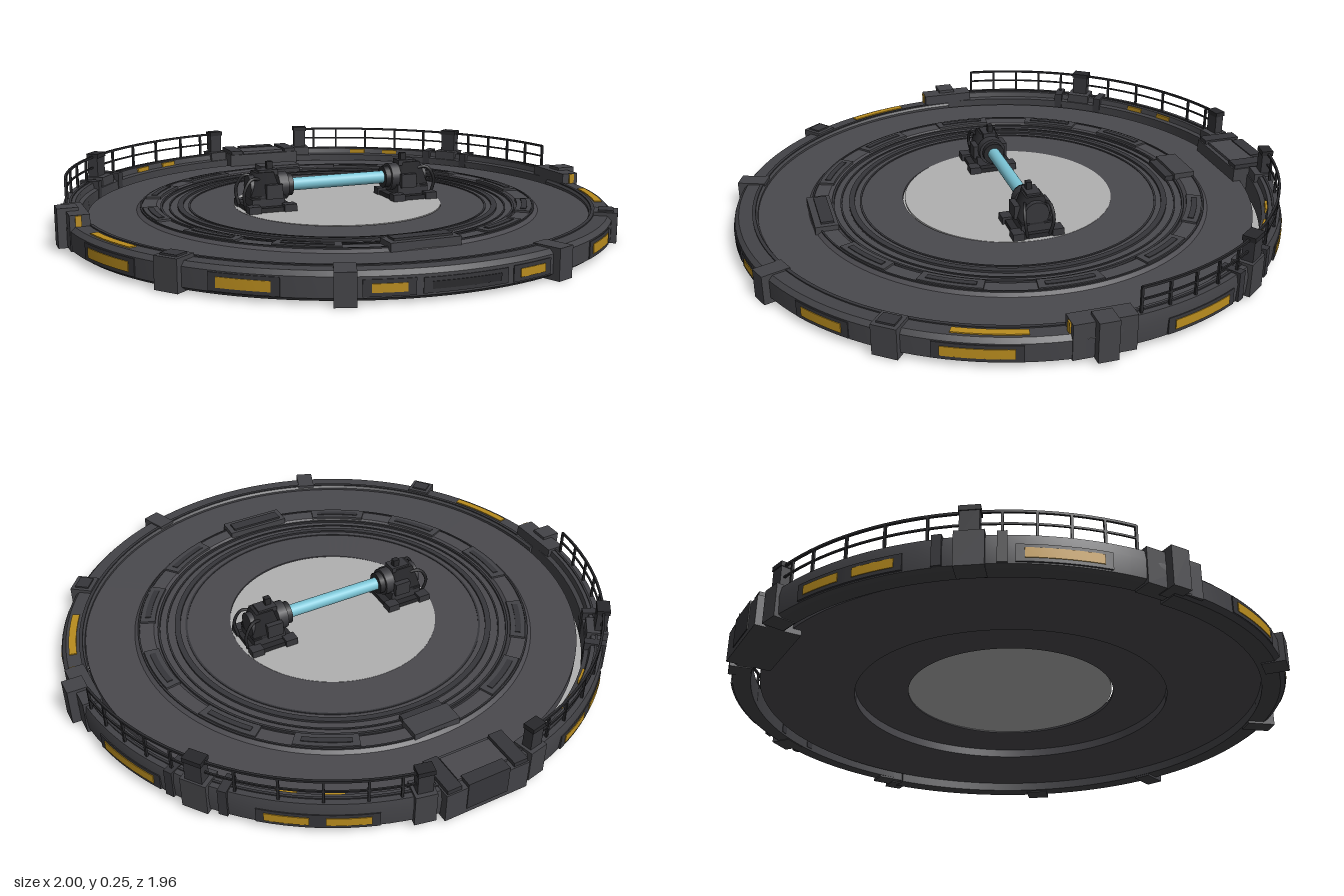
import * as THREE from 'three';
import { mergeGeometries, toCreasedNormals } from 'three/addons/utils/BufferGeometryUtils.js';

const mat = (name, color) => Object.assign(new THREE.MeshStandardMaterial({ color }), { name });
const RAD = Math.PI / 180;

export function createModel() {
  const model = new THREE.Group();
  model.name = 'arenaPlatform';
  const floorGrey = mat('floor grey', 0x4a494e);
  const rimGrey = mat('rim grey', 0x434347);
  const trimGrey = mat('dark trim', 0x36363a);
  const black = mat('machine black', 0x28282b);
  const gold = mat('gold', 0xb98c1e);
  const cyan = mat('beam cyan', 0x7cc5d6);
  const pale = mat('pale disc', 0xb0b0b0);

  const add = (name, geo, material, parent = model) => {
    const m = new THREE.Mesh(geo, material);
    m.name = name;
    parent.add(m);
    return m;
  };

  // Closed profile swept from angle a0 to a1 (degrees from the front), with end caps
  const arc = (name, material, profile, a0 = 0, a1 = 360, parent = model) => {
    const pts = profile.map(([r, y]) => new THREE.Vector2(r, y));
    const steps = Math.max(2, Math.ceil((a1 - a0) / 3));
    const parts = [new THREE.LatheGeometry(pts, steps, a0 * RAD, (a1 - a0) * RAD).toNonIndexed()];
    if (a1 - a0 < 360) {
      [a0, a1].forEach((a, end) => {
        const cap = new THREE.ShapeGeometry(new THREE.Shape(pts));
        if (end) cap.setIndex(Array.from(cap.index.array).reverse());
        parts.push(cap.rotateY(a * RAD - Math.PI / 2).toNonIndexed());
      });
    }
    return add(name, toCreasedNormals(mergeGeometries(parts), 0.5), material, parent);
  };
  const band = (r0, r1, y0, y1) => [[r1, y0], [r1, y1], [r0, y1], [r0, y0], [r1, y0]];

  // Box standing on the ring at angle a, width along the ring, depth outward
  const block = (name, material, a, r, y0, y1, w, d) => {
    const m = add(name, new THREE.BoxGeometry(w, y1 - y0, d), material);
    m.position.set(r * Math.sin(a * RAD), (y0 + y1) / 2, r * Math.cos(a * RAD));
    m.rotation.y = a * RAD;
    return m;
  };

  // Floor: thick outer deck, recessed underside, pale centre disc
  const floor = new THREE.Group();
  floor.name = 'floor';
  floor.position.z = 0.012;
  model.add(floor);
  arc('outerDeck', floorGrey, band(0.56, 0.888, 0.04, 0.08), 0, 360, floor);
  arc('innerDeck', floorGrey, band(0.37, 0.565, 0.07, 0.081), 0, 360, floor);
  const disc = add('centreDisc', new THREE.CylinderGeometry(0.375, 0.375, 0.008, 96), pale);
  disc.position.y = 0.078;

  // Concentric track on the floor
  arc('trackBase', floorGrey, [[0.72, 0.079], [0.705, 0.09], [0.65, 0.09], [0.635, 0.079], [0.72, 0.079]]);
  [[0.53, 0.537, 0.084], [0.555, 0.575, 0.088], [0.6, 0.606, 0.084], [0.628, 0.636, 0.088], [0.7, 0.706, 0.094]]
    .forEach(([r0, r1, y]) => arc('trackRing', trimGrey, band(r0, r1, 0.078, y)));
  [30, 58, 90, 122, 150].forEach(a => [a, -a].forEach(b => {
    arc('trackPlate', rimGrey, band(0.645, 0.698, 0.088, 0.097), b - 9, b + 9);
    arc('trackSlot', trimGrey, band(0.662, 0.682, 0.096, 0.1), b - 7, b + 7);
  }));
  block('frontConsole', rimGrey, 0, 0.675, 0.08, 0.108, 0.24, 0.08);
  block('frontConsoleTop', trimGrey, 0, 0.67, 0.1, 0.115, 0.2, 0.045);
  block('backConsole', rimGrey, 180, 0.665, 0.08, 0.11, 0.17, 0.08);
  block('backConsoleGrille', trimGrey, 180, 0.61, 0.08, 0.1, 0.15, 0.035);

  // Outer rim: low front part and raised back part
  arc('frontRim', rimGrey, [[0.955, 0.008], [0.972, 0.02], [0.972, 0.082], [0.958, 0.096],
    [0.9, 0.096], [0.893, 0.088], [0.893, 0.008], [0.955, 0.008]], -90, 90);
  arc('backRim', rimGrey, [[0.955, 0.022], [0.968, 0.03], [0.972, 0.09], [0.965, 0.125],
    [0.925, 0.125], [0.92, 0.105], [0.905, 0.1], [0.905, 0.022], [0.955, 0.022]], 90, 270);
  arc('backRimGroove', trimGrey, band(0.938, 0.946, 0.12, 0.129), 96, 264);
  arc('frontRimLip', trimGrey, band(0.9, 0.912, 0.09, 0.1), -84, 84);

  // Framed panels around the outside: [angle, half width, low, high, front or back]
  const panel = (a, half, y0, y1, material) => {
    arc('panelFrame', trimGrey, band(0.968, 0.975, y0 - 0.012, y1 + 0.012), a - half - 1.5, a + half + 1.5);
    arc('panelFace', material, band(0.97, 0.9775, y0, y1), a - half, a + half);
  };
  panel(0, 6.5, 0.038, 0.06, black);
  [[13.7, 3, 0.036, 0.062], [38, 4.8, 0.034, 0.066], [68, 6.5, 0.034, 0.066],
    [110.5, 6.8, 0.046, 0.078], [143.5, 4, 0.046, 0.076], [154.5, 4, 0.046, 0.076]]
    .forEach(([a, h, y0, y1]) => [a, -a].forEach(b => panel(b, h, y0, y1, gold)));

  for (const s of [1, -1]) {
    // Gold strips on the rim top and its inner face
    arc('topStrip', gold, band(0.922, 0.948, 0.094, 0.1), s * 70 - 7, s * 70 + 7);
    [143, 152].forEach(a => arc('innerStrip', gold, band(0.915, 0.923, 0.106, 0.122), s * a - 2, s * a + 2));

    // Buttresses on the rim
    block('frontButtress', rimGrey, s * 21, 0.945, 0, 0.102, 0.065, 0.1);
    block('cornerButtress', rimGrey, s * 52, 0.95, 0.004, 0.108, 0.085, 0.08);
    block('cornerButtressTop', trimGrey, s * 52, 0.95, 0.1, 0.114, 0.06, 0.05);
    block('sideShoulder', rimGrey, s * 90, 0.937, 0.015, 0.135, 0.2, 0.066);
    block('sideButtress', rimGrey, s * 90, 0.965, 0.012, 0.146, 0.065, 0.07);
    const end = add('shoulderStrip', new THREE.BoxGeometry(0.02, 0.036, 0.006), gold);
    end.position.set(s * 0.942, 0.115, 0.102);
    block('seamRib', trimGrey, s * 121, 0.94, 0.03, 0.132, 0.03, 0.075);
    block('seamRib', trimGrey, s * 132, 0.94, 0.03, 0.132, 0.03, 0.075);
    block('postFoot', rimGrey, s * 126.5, 0.945, 0.02, 0.135, 0.09, 0.074);
    block('railPost', trimGrey, s * 126.5, 0.955, 0.12, 0.22, 0.06, 0.04);
    block('railPostCap', black, s * 126.5, 0.955, 0.205, 0.222, 0.066, 0.046);
    block('gateFoot', rimGrey, s * 168, 0.945, 0.02, 0.135, 0.07, 0.074);
    block('gatePost', trimGrey, s * 168, 0.95, 0.12, 0.22, 0.05, 0.035);
    block('gatePostCap', black, s * 168, 0.95, 0.205, 0.222, 0.056, 0.041);

    // Railing
    const [from, to] = s > 0 ? [97, 168] : [-168, -97];
    arc('topRail', black, band(0.951, 0.959, 0.206, 0.214), from, to);
    arc('midRail', black, band(0.952, 0.958, 0.166, 0.172), from, to);
    [97, 103, 109, 115, 121, 134, 142, 150, 158, 164].forEach(a =>
      block('railPole', black, s * a, 0.955, 0.12, 0.212, 0.008, 0.008));
  }

  // Gate at the back
  block('gateBase', rimGrey, 180, 0.91, 0.022, 0.128, 0.3, 0.15);
  block('gateLid', floorGrey, 180, 0.9, 0.12, 0.138, 0.18, 0.1);
  block('gateBack', trimGrey, 180, 0.965, 0.04, 0.142, 0.15, 0.045);
  [-0.12, 0.12].forEach(x => {
    const cheek = add('gateCheek', new THREE.BoxGeometry(0.05, 0.03, 0.14), trimGrey);
    cheek.position.set(x, 0.128, -0.91);
  });

  // Beam between two emitters
  const beam = add('beam', new THREE.CylinderGeometry(0.023, 0.023, 0.42, 24), cyan);
  beam.rotation.z = Math.PI / 2;
  beam.position.y = 0.16;

  for (const s of [1, -1]) {
    const e = new THREE.Group();
    e.name = 'emitter';
    e.position.set(s * 0.28, 0.08, 0);
    e.rotation.y = s > 0 ? 0 : Math.PI;
    model.add(e);
    const box = (name, w, h, d, x, y, z, m = black) => {
      const b = add(name, new THREE.BoxGeometry(w, h, d), m, e);
      b.position.set(x, y, z);
      return b;
    };
    box('basePlate', 0.165, 0.016, 0.16, -0.005, 0.01, 0);
    for (const x of [-0.07, 0.06]) for (const z of [-0.07, 0.07]) box('baseFoot', 0.045, 0.026, 0.04, x, 0.014, z, trimGrey);
    box('plinth', 0.12, 0.04, 0.11, 0, 0.035, 0, trimGrey);
    // Housing narrows towards the top
    const housing = add('housing', new THREE.CylinderGeometry(0.045, 0.08, 0.09, 4, 1).rotateY(Math.PI / 4), black, e);
    housing.position.set(0.005, 0.09, 0);
    [[0.05, 0.035, -0.062, trimGrey], [0.04, 0.03, -0.085, black], [0.044, 0.06, 0.03, trimGrey]].forEach(([r, len, x, m]) => {
      const c = add('barrelRing', new THREE.CylinderGeometry(r, r, len, 16).rotateZ(Math.PI / 2), m, e);
      c.position.set(x, 0.08, 0);
    });
    box('topBlock', 0.07, 0.02, 0.05, -0.01, 0.132, 0, trimGrey);
    box('topFin', 0.022, 0.035, 0.02, -0.022, 0.15, 0.006);
    for (const z of [-1, 1]) {
      box('sideBlock', 0.06, 0.05, 0.02, -0.02, 0.07, z * 0.055, trimGrey);
      const cable = new THREE.CatmullRomCurve3([[0.02, 0.11, 0.03], [0.06, 0.115, 0.045], [0.088, 0.07, 0.05], [0.08, 0.012, 0.04]]
        .map(([x, y, w]) => new THREE.Vector3(x, y, z * w)));
      add('cable', new THREE.TubeGeometry(cable, 14, 0.006, 6), black, e);
    }
  }
  return model;
}
